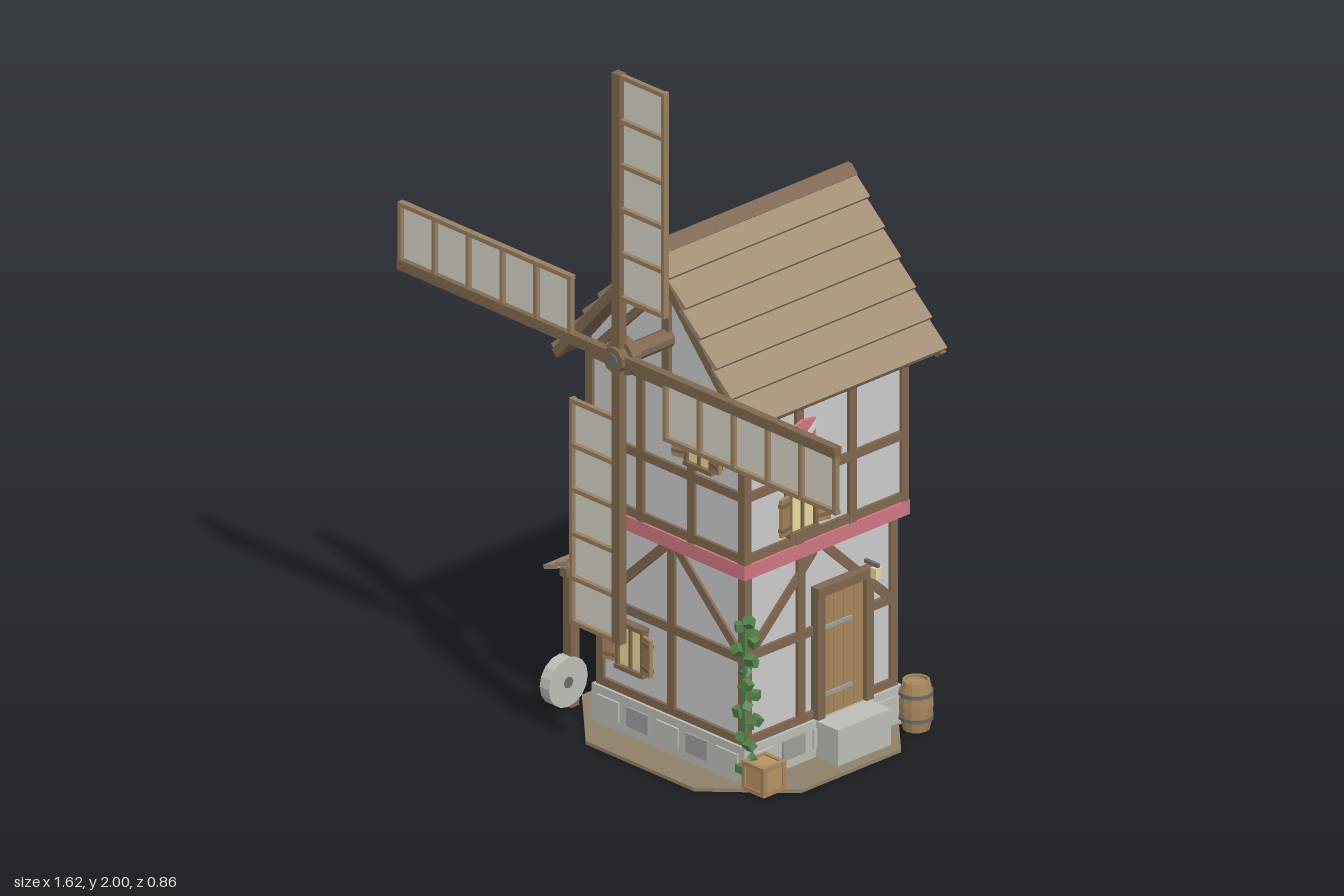
import * as THREE from 'three';

const C = {
  plaster: 0xcccccc, timber: 0x80684f, roof: 0xa18c73, roofDark: 0x7c6752, red: 0xd07882,
  stone: 0xbdbdb8, stoneDark: 0x9d9d9a, cloth: 0xd8d4c8, sail: 0x9a8060, door: 0xa8875c,
  glass: 0xeadb9c, shutter: 0xa5835a, iron: 0x6a6a6a, leaf: 0x55844c, ground: 0x8f8269,
  sack: 0xd9d3bd, crate: 0xb8935f,
};
const mats = {};
const mat = (c) => (mats[c] ??= new THREE.MeshStandardMaterial({ color: c, flatShading: true, side: THREE.DoubleSide }));

function add(parent, name, geo, color, x = 0, y = 0, z = 0) {
  const m = new THREE.Mesh(geo, mat(color));
  m.name = name;
  m.position.set(x, y, z);
  parent.add(m);
  return m;
}
const box = (parent, name, w, h, d, x, y, z, color) =>
  add(parent, name, new THREE.BoxGeometry(w, h, d), color, x, y, z);

// Beam in a plane facing z, running between two points
function beam(parent, name, x1, y1, x2, y2, z, w, d, color) {
  const m = box(parent, name, Math.hypot(x2 - x1, y2 - y1), w, d, (x1 + x2) / 2, (y1 + y2) / 2, z, color);
  m.rotation.z = Math.atan2(y2 - y1, x2 - x1);
  return m;
}
function group(parent, name, x = 0, y = 0, z = 0) {
  const g = new THREE.Group();
  g.name = name;
  g.position.set(x, y, z);
  parent.add(g);
  return g;
}
const polygon = (pts) => new THREE.Shape(pts.map(([x, y]) => new THREE.Vector2(x, y)));
const slab = (pts, depth) => new THREE.ExtrudeGeometry(polygon(pts), { depth, bevelEnabled: false });

function addWindow(parent, x, y, z) {
  const g = group(parent, 'window', x, y, z);
  box(g, 'pane', 0.09, 0.12, 0.012, 0, 0, 0.004, C.glass);
  for (const s of [-1, 1]) {
    box(g, 'windowRail', 0.105, 0.012, 0.028, 0, s * 0.063, 0.008, C.timber);
    box(g, 'windowJamb', 0.01, 0.12, 0.022, s * 0.046, 0, 0.008, C.timber);
    const sh = group(g, 'shutter', s * 0.068, 0, 0.018);
    sh.rotation.y = -s * 0.25;
    box(sh, 'shutterBoard', 0.042, 0.105, 0.01, 0, 0, 0, C.shutter);
    for (const v of [-0.035, 0.035]) box(sh, 'shutterBatten', 0.042, 0.01, 0.016, 0, v, 0, C.timber);
  }
  box(g, 'mullion', 0.008, 0.12, 0.02, 0, 0, 0.006, C.timber);
}

// One side of the timber frame, facing +z
function addSide(parent, name, k) {
  const g = group(parent, name);
  g.rotation.y = k * Math.PI / 2;
  const zl = 0.265, zu = 0.285, t = 0.025, d = 0.02;
  const wood = (x1, y1, x2, y2, z) => beam(g, 'timber', x1, y1, x2, y2, z, t, d, C.timber);
  wood(-0.275, 0.125, 0.275, 0.125, zl);
  if (k === 1) {
    wood(-0.262, 0.365, -0.03, 0.365, zl);
    wood(0.17, 0.365, 0.262, 0.365, zl);
    wood(-0.07, 0.12, -0.07, 0.6, zl);
  } else {
    wood(-0.262, 0.36, 0.262, 0.36, zl);
    wood(0, 0.12, 0, 0.6, zl);
  }
  for (const s of [-1, 1]) {
    wood(s * 0.2625, 0.12, s * 0.2625, 0.6, zl);
    wood(s * 0.02, 0.59, s * 0.25, 0.37, zl - 0.002);
    wood(s * 0.2825, 0.64, s * 0.2825, 1.06, zu);
    wood(s * 0.095, 0.64, s * 0.095, 1.06, zu);
  }
  wood(-0.282, 0.83, 0.282, 0.83, zu);
  wood(-0.295, 0.655, 0.295, 0.655, zu - 0.001);
  wood(-0.295, 1.06, 0.295, 1.06, zu + 0.001);
  box(g, 'redBand', 0.594, 0.04, 0.03, 0, 0.62, 0.282, C.red);
  // Dressed stones in the plinth
  for (let i = 0; i < 5; i++)
    box(g, 'plinthStone', 0.08, 0.055, 0.012, -0.22 + i * 0.11, 0.065, 0.283, i % 2 ? C.stoneDark : C.stone);
  return g;
}

function addSails(root) {
  const g = group(root, 'sails', 0, 1.19, 0.405);
  for (let k = 0; k < 4; k++) {
    const a = group(g, 'sail');
    a.rotation.z = -k * Math.PI / 2;
    box(a, 'spar', 0.03, 0.81, 0.024, 0, 0.405, 0, C.timber);
    box(a, 'outerRail', 0.012, 0.64, 0.018, 0.17, 0.49, 0, C.sail);
    box(a, 'sailCloth', 0.16, 0.63, 0.005, 0.09, 0.49, -0.006, C.cloth);
    for (let i = 0; i < 6; i++) box(a, 'rung', 0.16, 0.012, 0.014, 0.09, 0.176 + i * 0.1256, 0.002, C.sail);
  }
  const round = (name, r, len, z, n, c) =>
    add(g, name, new THREE.CylinderGeometry(r, r, len, n).rotateX(Math.PI / 2), c, 0, 0, z);
  round('axle', 0.026, 0.3, -0.135, 10, C.timber);
  round('hubFlange', 0.052, 0.03, -0.018, 10, C.timber);
  round('hubCap', 0.036, 0.03, 0.008, 10, C.timber);
  round('hubPin', 0.02, 0.01, 0.022, 8, C.iron);
}

function addRoof(body) {
  const g = group(body, 'roof');
  const z0 = -0.0075, len = 0.72, n = 6;
  for (const s of [-1, 1]) {
    // Deck with overlapping board courses
    beam(g, 'roofDeck', 0, 1.452, s * 0.342, 1.052, z0, 0.014, len - 0.02, C.roofDark);
    for (let i = 0; i < n; i++) {
      const a = i / n, b = (i + 1.12) / n;
      beam(g, 'roofBoard', s * 0.345 * a, 1.462 - 0.4 * a, s * (0.345 * b + 0.008),
        1.462 - 0.4 * b + 0.012, z0, 0.014, len - 0.004 * (i % 2), C.roof).position.y += 0.002;
    }
    for (const z of [z0 - len / 2 + 0.01, z0 + len / 2 - 0.01])
      beam(g, 'bargeBoard', 0, 1.452, s * 0.35, 1.05, z, 0.026, 0.02, C.timber);
    beam(g, 'ridgeCap', 0, 1.474, s * 0.025, 1.448, z0, 0.012, len + 0.004, C.roofDark);
  }
  add(g, 'finial', new THREE.ConeGeometry(0.012, 0.09, 6), C.timber, 0, 1.505, 0.345);
  add(g, 'finialKnob', new THREE.SphereGeometry(0.014, 6, 4), C.timber, 0, 1.475, 0.345);
  // Gables
  add(body, 'gableWall', slab([[-0.285, 1.05], [0.285, 1.05], [0.285, 1.1], [0, 1.435], [-0.285, 1.1]], 0.564),
    C.plaster, 0, 0, -0.282);
  for (const z of [-0.285, 0.285]) {
    box(body, 'gablePost', 0.025, 0.35, 0.02, 0, 1.24, z, C.timber);
    for (const s of [-1, 1]) beam(body, 'gableBrace', s * 0.26, 1.08, s * 0.07, 1.27, z, 0.022, 0.02, C.timber);
  }
}

function addDoor(side) {
  const g = group(side, 'door', 0.067, 0, 0.27);
  for (let i = 0; i < 4; i++) box(g, 'doorPlank', 0.034, 0.345, 0.02, -0.052 + i * 0.036, 0.29, 0.004, C.door);
  for (const x of [-0.082, 0.092]) box(g, 'doorPost', 0.026, 0.37, 0.036, x, 0.3, 0.004, C.timber);
  box(g, 'doorLintel', 0.2, 0.026, 0.04, 0.005, 0.475, 0.004, C.timber);
  for (const y of [0.18, 0.37]) box(g, 'hinge', 0.1, 0.01, 0.008, -0.02, y, 0.017, C.stoneDark);
  box(g, 'doorStep', 0.19, 0.105, 0.1, 0.0, 0.06, 0.045, C.stone);
  box(g, 'lanternArm', 0.01, 0.01, 0.05, 0.1, 0.5, 0.02, C.iron);
  box(g, 'lantern', 0.02, 0.03, 0.02, 0.1, 0.478, 0.035, C.glass);
}

function addLeanTo(root) {
  const g = group(root, 'leanTo', 0, 0, -0.0625);
  for (let i = 0; i < 4; i++) {
    const a = i / 4, b = (i + 1.15) / 4;
    beam(g, 'canopyBoard', -0.27 - 0.168 * a, 0.478 - 0.088 * a, -0.27 - 0.168 * b, 0.486 - 0.088 * b, 0,
      0.012, 0.614, C.roof);
  }
  box(g, 'canopyBeam', 0.026, 0.026, 0.56, -0.4, 0.385, 0, C.timber);
  for (const z of [-0.25, 0, 0.25]) beam(g, 'rafter', -0.265, 0.462, -0.43, 0.378, z, 0.02, 0.022, C.timber);
  for (const z of [-0.25, 0.25]) {
    box(g, 'canopyPost', 0.03, 0.39, 0.03, -0.4, 0.195, z, C.timber);
    beam(g, 'postBrace', -0.39, 0.3, -0.32, 0.38, z, 0.016, 0.018, C.timber);
  }
}

function addProps(root) {
  // Barrel with hoops
  const b = group(root, 'barrel', 0.332, 0.008, -0.34);
  const prof = [[0, 0], [0.036, 0], [0.044, 0.04], [0.046, 0.07], [0.044, 0.1], [0.036, 0.138], [0.03, 0.138], [0.03, 0.13], [0, 0.13]];
  add(b, 'staves', new THREE.LatheGeometry(prof.map(([x, y]) => new THREE.Vector2(x, y)), 12), C.door);
  for (const y of [0.035, 0.103]) add(b, 'hoop', new THREE.CylinderGeometry(0.0465, 0.0465, 0.01, 12), C.iron, 0, y, 0);
  // Crate with corner battens
  const c = group(root, 'crate', 0.325, 0.047, 0.2);
  box(c, 'crateBody', 0.074, 0.074, 0.074, 0, 0, 0, C.crate);
  for (const s of [-1, 1]) {
    for (const t of [-1, 1]) {
      box(c, 'crateEdge', 0.012, 0.08, 0.012, s * 0.035, 0, t * 0.035, C.door);
      box(c, 'crateEdge', 0.08, 0.012, 0.012, 0, s * 0.035, t * 0.035, C.door);
      box(c, 'crateEdge', 0.012, 0.012, 0.08, s * 0.035, t * 0.035, 0, C.door);
    }
  }
  // Sacks and millstone under the canopy
  for (const [x, z, h] of [[-0.335, -0.14, 0.12], [-0.35, -0.04, 0.13], [-0.33, 0.06, 0.165]])
    add(root, 'sack', new THREE.CylinderGeometry(0.024, 0.042, h, 8), C.sack, x, h / 2 + 0.008, z);
  const ms = group(root, 'millstone', -0.4, 0.078, 0.215);
  ms.rotation.z = Math.PI / 2;
  add(ms, 'stoneDisc', new THREE.CylinderGeometry(0.07, 0.07, 0.034, 16), C.stone);
  add(ms, 'stoneEye', new THREE.CylinderGeometry(0.016, 0.016, 0.038, 8), C.iron);
  // Ivy up the front corner
  const ivy = group(root, 'ivy');
  box(ivy, 'ivyStem', 0.01, 0.44, 0.01, 0.277, 0.26, 0.222, C.leaf);
  for (let i = 0; i < 20; i++) {
    const l = box(ivy, 'ivyLeaf', 0.026, 0.022, 0.024, 0.277 + 0.019 * Math.sin(i * 2.4), 0.06 + i * 0.022,
      0.212 + 0.02 * Math.cos(i * 1.7), C.leaf);
    l.rotation.set(i * 0.7, i * 1.1, 0);
  }
}

export function createModel() {
  const root = new THREE.Group();
  root.name = 'windmill';
  // Ground slab
  const rim = [[0.2, -0.33], [0.4, -0.14], [0.4, 0.22], [0.2, 0.4], [-0.2, 0.4], [-0.41, 0.22], [-0.41, -0.14], [-0.2, -0.33]];
  add(root, 'ground', slab(rim, 0.01).rotateX(-Math.PI / 2), C.ground);

  const body = group(root, 'mill', 0, 0, -0.055);
  box(body, 'plinth', 0.566, 0.11, 0.566, 0, 0.06, 0, C.stone);
  box(body, 'lowerWall', 0.53, 0.5, 0.53, 0, 0.36, 0, C.plaster);
  box(body, 'upperWall', 0.57, 0.45, 0.57, 0, 0.835, 0, C.plaster);
  const [front, right, back, left] =
    ['frontFrame', 'doorFrame', 'backFrame', 'canopyFrame'].map((n, k) => addSide(body, n, k));
  addWindow(front, -0.14, 0.26, 0.27);
  addWindow(front, 0.135, 0.935, 0.29);
  addWindow(right, -0.095, 0.745, 0.29);
  for (const s of [back, left]) {
    addWindow(s, 0, 0.26, 0.27);
    addWindow(s, 0, 0.745, 0.29);
  }
  addDoor(right);
  // Plain shield with a diagonal stripe
  const sh = group(right, 'shield', -0.095, 0.935, 0.297);
  add(sh, 'shieldPlate', slab([[-0.045, 0.045], [0, 0.06], [0.045, 0.055], [0.043, -0.01], [0, -0.06], [-0.043, -0.01]], 0.01), C.red);
  add(sh, 'shieldStripe', slab([[-0.041, -0.018], [-0.028, -0.03], [0.044, 0.03], [0.044, 0.05]], 0.013), C.cloth);

  addRoof(body);
  addSails(root);
  addLeanTo(root);
  addProps(root);
  return root;
}
